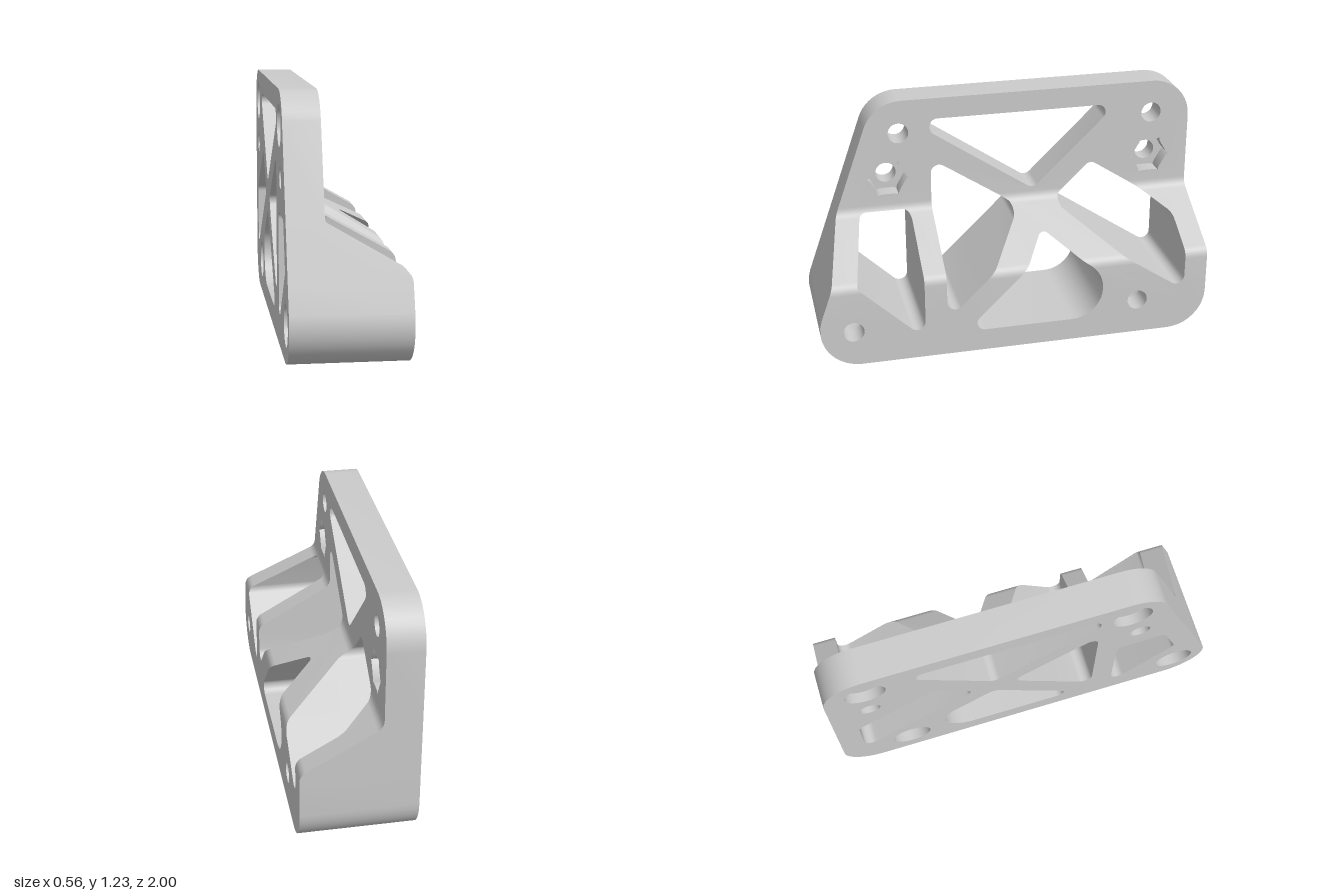
import * as THREE from 'three';
import { toCreasedNormals } from 'three/addons/utils/BufferGeometryUtils.js';

const V2 = THREE.Vector2, V3 = THREE.Vector3, BACK = -0.285, STEPS = 10;

// Polygon corners [x, y, radius] to a list of points with filleted corners
function rounded(corners) {
  const out = [], n = corners.length;
  corners.forEach(([x, y, r], i) => {
    const p = new V2(x, y);
    if (!r) { out.push(p); return; }
    const [ax, ay] = corners[(i + n - 1) % n], [bx, by] = corners[(i + 1) % n];
    const a = new V2(ax, ay).sub(p).normalize(), b = new V2(bx, by).sub(p).normalize();
    const half = Math.acos(a.dot(b)) / 2;
    const c = a.clone().add(b).normalize().multiplyScalar(r / Math.sin(half)).add(p);
    const start = a.multiplyScalar(r / Math.tan(half)).add(p).sub(c);
    const turn = Math.PI - 2 * half;
    const end = b.multiplyScalar(r / Math.tan(half)).add(p).sub(c);
    const sign = Math.sign(start.cross(end));
    for (let k = 0; k <= STEPS; k++) {
      out.push(start.clone().rotateAround(new V2(), sign * turn * k / STEPS).add(c));
    }
  });
  return out;
}

const circle = (cx, cy, r, n = 40) => Array.from({ length: n }, (_, i) => {
  const a = i / n * Math.PI * 2;
  return new V2(cx + r * Math.cos(a), cy + r * Math.sin(a));
});

// Hexagonal nut pocket with small relieved points at its corners
function nutOutline(cx, cy) {
  const pts = [];
  for (let i = 0; i < 6; i++) {
    const a = i * Math.PI / 3;
    for (const [r, d] of [[0.092, -0.14], [0.105, 0], [0.092, 0.14]]) {
      pts.push(new V2(cx + r * Math.cos(a + d), cy + r * Math.sin(a + d)));
    }
  }
  return pts;
}

// Front face depth by height: thin upper plate, slope, thick foot
const profile = rounded([[0.28, 0, 0], [0.28, 0.427, 0.06], [-0.108, 0.648, 0.06], [-0.108, 1.3, 0]]);
const breaks = profile.slice(1, -1).map(p => p.y);
function frontX(y) {
  for (let i = 1; i < profile.length; i++) {
    const a = profile[i - 1], b = profile[i];
    if (y <= b.y) return a.x + (b.x - a.x) * (y - a.y) / (b.y - a.y);
  }
  return -0.108;
}
const depthAt = (y, x) => (x - BACK) / (frontX(y) - BACK);

// Cut a triangle along a horizontal line
function splitTriangle(tri, y) {
  const side = tri.map(p => (Math.abs(p.y - y) < 1e-7 ? 0 : Math.sign(p.y - y)));
  if (!side.includes(1) || !side.includes(-1)) return [tri];
  const result = [];
  for (const keep of [1, -1]) {
    const poly = [];
    for (let i = 0; i < 3; i++) {
      const j = (i + 1) % 3;
      if (side[i] !== -keep) poly.push(tri[i]);
      if (side[i] * side[j] < 0) {
        const q = tri[i].clone().lerp(tri[j], (y - tri[i].y) / (tri[j].y - tri[i].y));
        q.y = y;
        poly.push(q);
      }
    }
    for (let k = 2; k < poly.length; k++) result.push([poly[0], poly[k - 1], poly[k]]);
  }
  return result;
}

export function createModel() {
  // Triangles use (across, height, depth), depth running 0 at the back to 1 at the front
  let tris = [];
  const wound = (pts, ccw) => (THREE.ShapeUtils.isClockWise(pts) === ccw ? pts.slice().reverse() : pts.slice());
  function cap(outer, holes, t, toBack) {
    const o = wound(outer, true), hs = holes.map(h => wound(h, false));
    const faces = THREE.ShapeUtils.triangulateShape(o, hs);
    const all = [o, ...hs].flat().map(p => new V3(p.x, p.y, t));
    for (const [a, b, c] of faces) {
      tris.push(toBack ? [all[a], all[c], all[b]] : [all[a], all[b], all[c]]);
    }
  }
  function wall(pts, t0, t1, isHole = true) {
    const p = wound(pts, !isHole);
    p.forEach((a, i) => {
      const b = p[(i + 1) % p.length];
      const [a0, b0, b1, a1] = [[a, t0], [b, t0], [b, t1], [a, t1]].map(([q, t]) => new V3(q.x, q.y, t));
      tris.push([a0, b0, b1], [a0, b1, a1]);
    });
  }

  const outline = rounded([[-1.083, 0, 0.2], [1, 0, 0.2], [1, 1.23, 0.2], [-0.648, 1.23, 0.2]]);

  // Truss windows
  const r = 0.042;
  const windows = [
    [[-0.364, 1.122, 0.04], [-0.364, 1.053, 0.04], [0.17, 0.694, r], [0.61, 1.122, 0.04]],
    [[-0.364, 0.909, r], [-0.364, 0.192, r], [0.076, 0.619, r]],
    [[0.17, 0.548, r], [-0.27, 0.115, 0.04], [0.444, 0.115, 0.16], [0.444, 0.365, 0.16]],
    [[0.273, 0.626, r], [0.882, 0.217, r], [0.882, 0.554, r], [0.475, 0.822, r]],
    [[-0.733, 0.651, r], [-0.81, 0.42, r], [-0.476, 0.1, r], [-0.476, 0.651, r]],
  ].map(rounded);
  wall(outline, 0, 1, false);
  windows.forEach(w => wall(w, 0, 1));
  const frontHoles = [...windows], backHoles = [...windows];

  // Bolt holes, counterbored from the back: across, height, floor position
  for (const [u, y, floor] of [[-0.524, 1.06, -0.235], [0.797, 1.06, -0.235],
    [-0.834, 0.185, 0.155], [0.631, 0.185, 0.155]]) {
    const bore = circle(u, y, 0.052), wide = circle(u, y, 0.1), t = depthAt(y, floor);
    wall(wide, 0, t);
    cap(wide, [bore], t, true);
    wall(bore, t, 1);
    frontHoles.push(bore);
    backHoles.push(wide);
  }

  // Nut pockets, sunk from the front
  for (const [u, y] of [[-0.583, 0.823], [0.797, 0.823]]) {
    const bore = circle(u, y, 0.052), nut = nutOutline(u, y), t = depthAt(y, -0.19);
    wall(bore, 0, t);
    cap(nut, [bore], t, false);
    wall(nut, t, 1);
    frontHoles.push(nut);
    backHoles.push(bore);
  }

  cap(outline, frontHoles, 1, false);
  cap(outline, backHoles, 0, true);

  // Bend the front to the stepped profile
  for (const y of breaks) tris = tris.flatMap(t => splitTriangle(t, y));
  const pos = tris.flat().flatMap(p => [BACK + p.z * (frontX(p.y) - BACK), p.y, -p.x]);
  let geo = new THREE.BufferGeometry();
  geo.setAttribute('position', new THREE.Float32BufferAttribute(pos, 3));
  geo.scale(100, 100, 100);
  geo = toCreasedNormals(geo, 0.5);
  geo.scale(0.01, 0.01, 0.01);

  const bracket = new THREE.Mesh(geo, new THREE.MeshStandardMaterial({ color: 0xcccccc }));
  bracket.name = 'trussBracket';
  const group = new THREE.Group();
  group.name = 'mountingBracket';
  group.add(bracket);
  return group;
}
